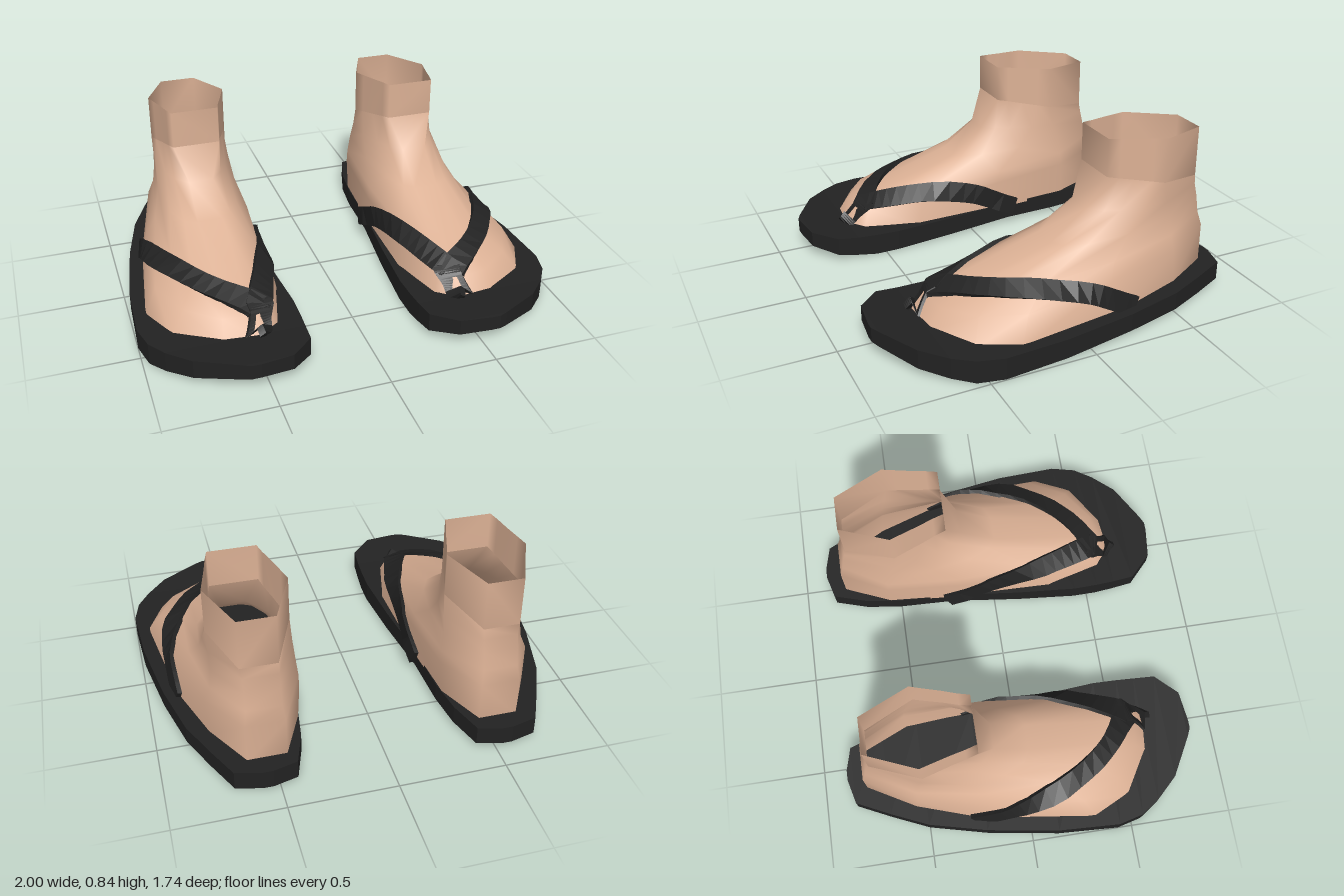
import * as THREE from 'three';

const skin = new THREE.MeshStandardMaterial({ color: 0xdcb195, side: THREE.DoubleSide });
skin.name = 'skin';
const rubber = new THREE.MeshStandardMaterial({ color: 0x222222 });
rubber.name = 'black rubber';

// Joins closed rings of points into a surface, with optional four-sided end caps.
function loft(rings, { flip = false, caps = false } = {}) {
  const n = rings[0].length, index = [];
  const tri = (a, b, c) => (flip ? index.push(a, c, b) : index.push(a, b, c));
  for (let i = 0; i < rings.length - 1; i++) {
    for (let j = 0; j < n; j++) {
      const a = i * n + j, b = i * n + ((j + 1) % n);
      tri(a, b, a + n);
      tri(a + n, b, b + n);
    }
  }
  if (caps) {
    const e = (rings.length - 1) * n;
    tri(0, 2, 1); tri(0, 3, 2);
    tri(e, e + 1, e + 2); tri(e, e + 2, e + 3);
  }
  const geo = new THREE.BufferGeometry();
  geo.setAttribute('position', new THREE.Float32BufferAttribute(rings.flat().flatMap(p => [p.x, p.y, p.z]), 3));
  geo.setIndex(index);
  return geo;
}

const smooth = geo => { geo.computeVertexNormals(); return geo; };
const faceted = geo => smooth(geo.toNonIndexed());

// Tilted foot outlines: height at back and front, then x,z pairs from heel, round the outside, to toe and back.
const footRings = [
  [0.09, 0.09, [.45, -.78, .63, -.78, .76, -.55, .87, -.22, .945, .33, .86, .51, .65, .64, .47, .66, .38, .58, .31, .3, .32, -.15, .35, -.55]],
  [0.29, 0.18, [.45, -.78, .63, -.78, .77, -.53, .85, -.15, .88, .27, .79, .46, .64, .57, .48, .59, .41, .54, .33, .28, .32, -.15, .34, -.55]],
  [0.36, 0.235, [.46, -.76, .62, -.76, .74, -.53, .79, -.2, .78, .15, .72, .35, .62, .45, .51, .47, .44, .42, .36, .22, .33, -.17, .34, -.54]],
  [0.45, 0.37, [.46, -.745, .62, -.745, .73, -.52, .75, -.3, .73, -.1, .68, 0, .62, .03, .5, .03, .45, 0, .4, -.1, .36, -.3, .35, -.53]],
  [0.51, 0.5, [.46, -.73, .62, -.73, .73, -.5, .74, -.38, .71, -.27, .68, -.2, .62, -.14, .5, -.14, .45, -.2, .41, -.27, .37, -.38, .355, -.5]],
];
const ankle = [.46, -.72, .63, -.72, .735, -.48, .72, -.42, .7, -.34, .685, -.27, .67, -.215, .445, -.215, .43, -.27, .405, -.34, .38, -.42, .36, -.48];
footRings.push([0.56, 0.66, ankle]);
const cuffRings = [[0.56, 0.66, ankle], [0.8, 0.84, ankle]];

function tiltedRing([yBack, yFront, xz]) {
  const zs = xz.filter((_, i) => i % 2), lo = Math.min(...zs), hi = Math.max(...zs);
  return zs.map((z, i) => new THREE.Vector3(xz[2 * i], THREE.MathUtils.mapLinear(z, lo, hi, yBack, yFront), z));
}

// Sole stations: z, inner x, outer x, bottom y, top y.
const soleStations = [
  [-.875, .53, .58, .015, .105], [-.845, .417, .7, .015, .105], [-.68, .365, .78, .017, .105],
  [-.5, .34, .86, .02, .105], [-.22, .33, .93, .02, .105], [.13, .29, .985, .012, .105],
  [.43, .267, 1, .003, .105], [.55, .27, .97, 0, .107], [.64, .275, .91, .012, .11],
  [.745, .283, .81, .03, .12], [.85, .39, .62, .055, .13], [.868, .54, .58, .06, .13],
];
const soleRings = soleStations.map(([z, xi, xo, yb, yt]) =>
  [[xi, yt], [xo, yt], [xo, yb], [xi, yb]].map(([x, y]) => new THREE.Vector3(x, y, z)));

// Strap centre lines with half widths at both ends.
const straps = {
  outerStrap: [.048, .045, [[.48, .2, .55], [.6, .24, .46], [.7, .26, .35], [.8, .26, .17], [.87, .23, -.02], [.87, .17, -.14], [.86, .1, -.27]]],
  innerStrap: [.048, .045, [[.48, .2, .55], [.43, .22, .42], [.37, .24, .25], [.33, .2, 0], [.32, .15, -.12], [.32, .09, -.25]]],
  toePost: [.045, .03, [[.48, .2, .53], [.48, .16, .6], [.48, .11, .66]]],
};

// Wraps a flat band around the foot along a centre line.
function strapGeometry(footMesh, [w0, w1, points], flip) {
  const curve = new THREE.CatmullRomCurve3(points.map(p => new THREE.Vector3(...p)));
  const ray = new THREE.Raycaster();
  const radial = p => new THREE.Vector3(p.x - 0.58, p.y - 0.08, 0).normalize();
  const settle = p => {
    const out = radial(p);
    ray.set(p.clone().addScaledVector(out, 0.5), out.clone().negate());
    const hit = ray.intersectObject(footMesh)[0];
    const base = hit && hit.point.distanceTo(p) < 0.12 ? hit.point : p;
    return [base.clone().addScaledVector(out, 0.022), base.clone().addScaledVector(out, -0.01)];
  };
  const steps = 16, rings = [];
  for (let i = 0; i <= steps; i++) {
    const t = i / steps, p = curve.getPoint(t);
    const side = radial(p).cross(curve.getTangent(t)).normalize();
    const w = THREE.MathUtils.lerp(w0, w1, t);
    const [lt, lb] = settle(p.clone().addScaledVector(side, -w));
    const [rt, rb] = settle(p.clone().addScaledVector(side, w));
    rings.push([lt, rt, rb, lb]);
  }
  return loft(rings, { caps: true, flip });
}

export function createModel() {
  const model = new THREE.Group();
  model.name = 'feetInSandals';
  const footShape = () => smooth(loft(footRings.map(tiltedRing), { flip: true }));
  const guide = new THREE.Mesh(footShape(), skin);

  for (const s of [1, -1]) {
    const group = new THREE.Group();
    group.name = s > 0 ? 'leftFoot' : 'rightFoot';
    const add = (name, geo, material, finish) => {
      if (s < 0) {
        // Mirror the points and turn the faces back outwards
        geo.scale(-1, 1, 1);
        geo.index.array.reverse();
      }
      const mesh = new THREE.Mesh(finish(geo), material);
      mesh.name = name;
      group.add(mesh);
    };
    add('foot', footShape(), skin, smooth);
    add('ankleCuff', loft(cuffRings.map(tiltedRing), { flip: true }), skin, smooth);
    add('sole', loft(soleRings, { caps: true, flip: true }), rubber, faceted);
    for (const [name, strap] of Object.entries(straps)) {
      add(name, strapGeometry(guide, strap, true), rubber, faceted);
    }
    model.add(group);
  }
  return model;
}
